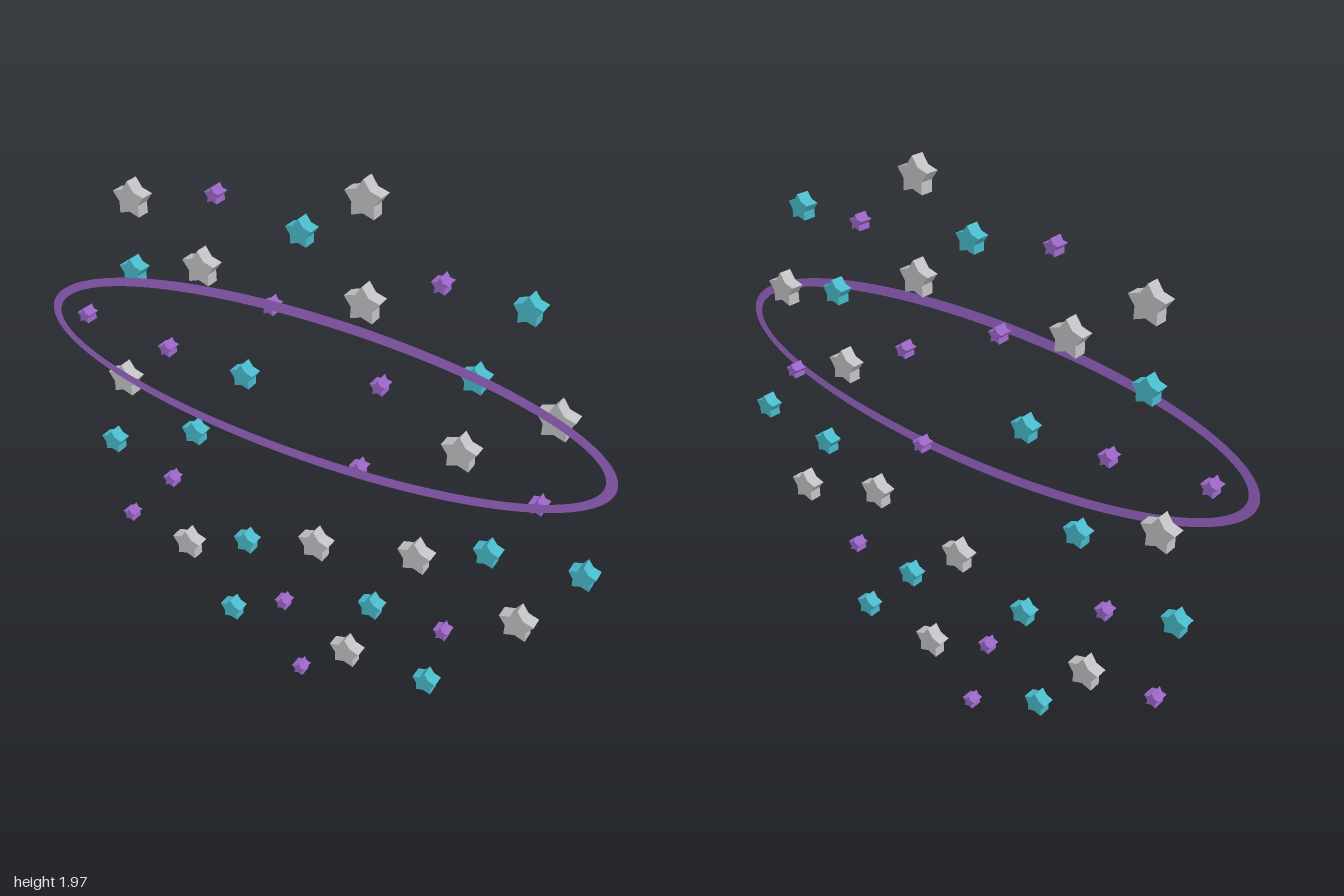
import * as THREE from 'three';

const DEPTH = 0.046;

const material = (name, color, side = THREE.FrontSide) => {
  const m = new THREE.MeshStandardMaterial({ color, side });
  m.name = name;
  return m;
};

// Five-pointed star with one point up, extruded along z about its own centre
function starGeometry(outer, inner) {
  const points = [];
  for (let i = 0; i < 10; i++) {
    const r = i % 2 ? inner : outer;
    const a = Math.PI / 2 + (i * Math.PI) / 5;
    points.push(new THREE.Vector2(r * Math.cos(a), r * Math.sin(a)));
  }
  const geometry = new THREE.ExtrudeGeometry(new THREE.Shape(points), { depth: DEPTH, bevelEnabled: false });
  return geometry.translate(0, 0, -DEPTH / 2);
}

// Star centres as [x, y]
const LARGE = [
  [0.185, 1.91], [-0.63, 1.73], [-0.38, 1.56], [0.19, 1.59], [0.80, 1.395], [0.525, 1.19],
  [-0.727, 1.05], [0.403, 0.74], [0.032, 0.635], [0.765, 0.625], [-0.505, 0.417], [0.16, 0.203],
];
const MEDIUM = [
  [-0.021, 1.763], [0.685, 1.707], [-0.647, 1.482], [0.55, 1.45], [-0.235, 1.217], [-0.444, 0.926],
  [-0.807, 0.766], [0.642, 0.854], [0.944, 0.897], [-0.249, 0.531], [0.251, 0.456], [-0.321, 0.183],
  [0.471, 0.215],
];
const SMALL = [
  [-0.316, 1.812], [0.428, 1.714], [-0.128, 1.495], [-0.869, 1.259], [-0.535, 1.227], [0.251, 1.331],
  [0.78, 1.093], [0.187, 1.008], [-0.559, 0.687], [-0.762, 0.452], [0.516, 0.468], [-0.099, 0.315],
  [-0.029, 0.027],
];

export function createModel() {
  const model = new THREE.Group();
  const silver = material('silver', 0xc2c2c5);
  const turquoise = material('turquoise', 0x48bacb);
  const purple = material('purple', 0x9b66c8);
  const ringPurple = material('ring purple', 0x9b66c8, THREE.DoubleSide);

  // Three sizes of scattered stars
  const scatter = (name, centres, geometry, mat) => {
    const group = new THREE.Group();
    group.name = name + 's';
    centres.forEach(([x, y], i) => {
      const star = new THREE.Mesh(geometry, mat);
      star.name = `${name}${i + 1}`;
      star.position.set(x, y, 0);
      group.add(star);
    });
    model.add(group);
  };
  scatter('largeStar', LARGE, starGeometry(0.061, 0.037), silver);
  scatter('mediumStar', MEDIUM, starGeometry(0.045, 0.028), turquoise);
  scatter('smallStar', SMALL, starGeometry(0.028, 0.015), purple);

  // Flat elliptical band just in front of the stars
  const band = new THREE.Shape().absellipse(0, 0, 1, 0.275, 0, Math.PI * 2, false, 0);
  band.holes.push(new THREE.Path().absellipse(0, 0, 0.966, 0.241, 0, Math.PI * 2, true, 0));
  const ring = new THREE.Mesh(new THREE.ShapeGeometry(band, 64), ringPurple);
  ring.name = 'ellipticalRing';
  ring.position.set(0, 1.252, DEPTH / 2 + 0.001);
  model.add(ring);

  return model;
}
